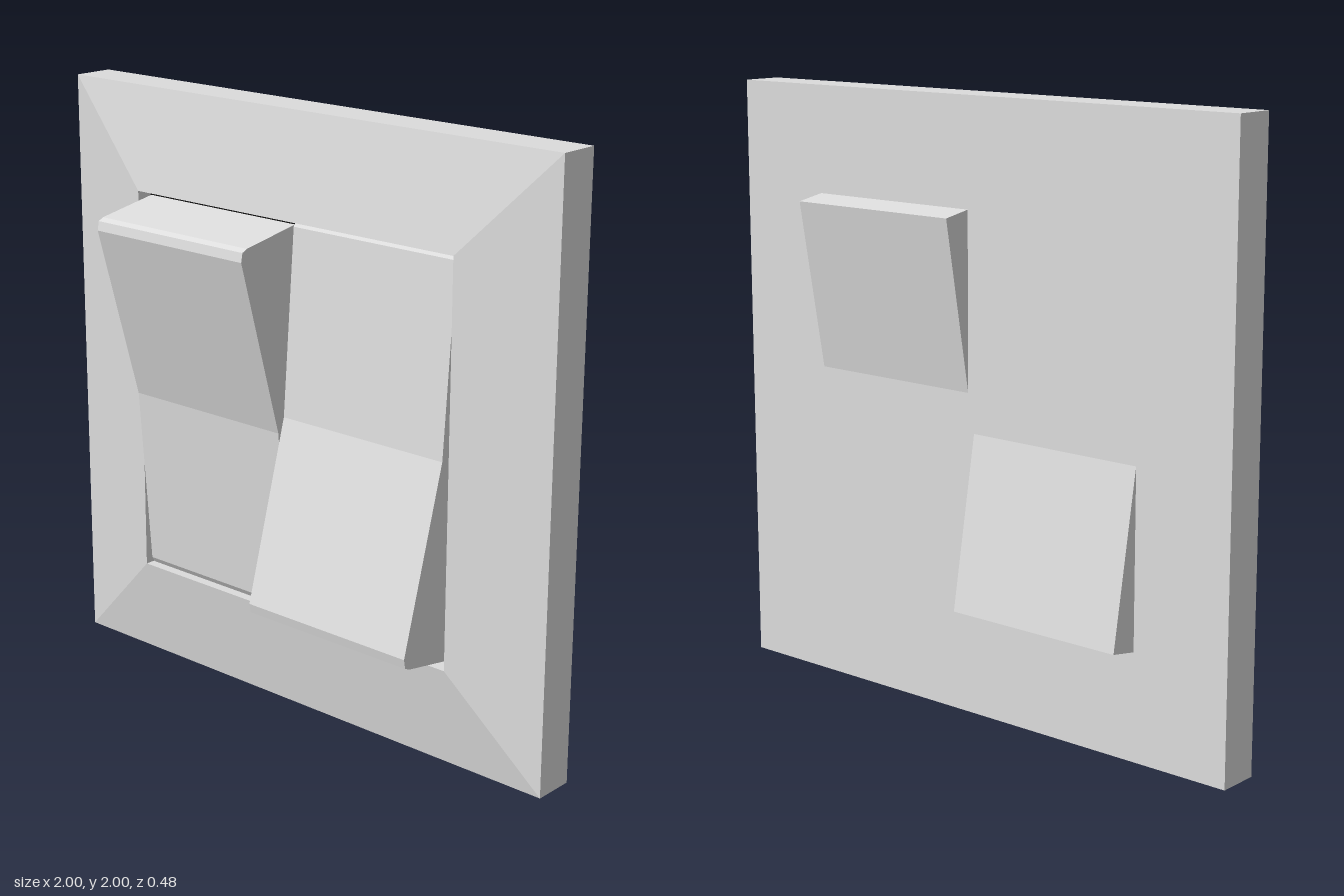
import * as THREE from 'three';

const OPENING = 0.66;   // half size of the square opening
const LIP = 0.056;      // height of the sloped frame

export function createModel() {
  const plastic = new THREE.MeshStandardMaterial({ color: 0xdcdcdc, flatShading: true });
  plastic.name = 'light grey plastic';
  plastic.side = THREE.DoubleSide;
  const gap = new THREE.MeshStandardMaterial({ color: 0x111111 });
  gap.name = 'black gap';

  const group = new THREE.Group();
  group.name = 'doubleRockerSwitch';
  const add = (name, geometry, material, x, y, z) => {
    const mesh = new THREE.Mesh(geometry, material);
    mesh.name = name;
    mesh.position.set(x, y, z);
    group.add(mesh);
    return mesh;
  };

  // Square wall plate and the dark floor of its opening
  add('basePlate', new THREE.BoxGeometry(2, 2, 0.14), plastic, 0, 1, -0.07);
  add('openingFloor', new THREE.PlaneGeometry(2 * OPENING, 2 * OPENING), gap, 0, 1, 0.001);

  // Four-sided ring, narrowing from half size "back" to half size "front"
  const squareRing = (front, back) =>
    new THREE.CylinderGeometry(front * Math.SQRT2, back * Math.SQRT2, LIP, 4, 1, true)
      .rotateY(Math.PI / 4).rotateX(Math.PI / 2);
  add('slopedFrame', squareRing(OPENING, 1), plastic, 0, 1, LIP / 2);
  add('openingWalls', squareRing(OPENING, OPENING), plastic, 0, 1, LIP / 2);

  // Rocker: flat back, shallow V front, rounded front edges
  const edge = [[0.201, 0.645], [0.222, 0.639], [0.233, 0.61]];
  const profile = [
    [-0.038, -0.645],
    ...edge.map(([z, y]) => [z, -y]),
    [0.173, 0],
    ...edge.slice().reverse(),
    [-0.038, 0.645],
  ].map(([z, y]) => new THREE.Vector2(z, y));
  const width = 0.643;
  const rockerGeometry = new THREE.ExtrudeGeometry(new THREE.Shape(profile), { depth: width, bevelEnabled: false })
    .translate(0, 0, -width / 2)
    .rotateY(-Math.PI / 2);

  // The two rockers tilt in opposite directions
  for (const [name, side] of [['leftRocker', 1], ['rightRocker', -1]]) {
    const rocker = add(name, rockerGeometry, plastic, side * 0.3335, 1, -0.09);
    rocker.rotation.x = -side * THREE.MathUtils.degToRad(10);
  }
  return group;
}
